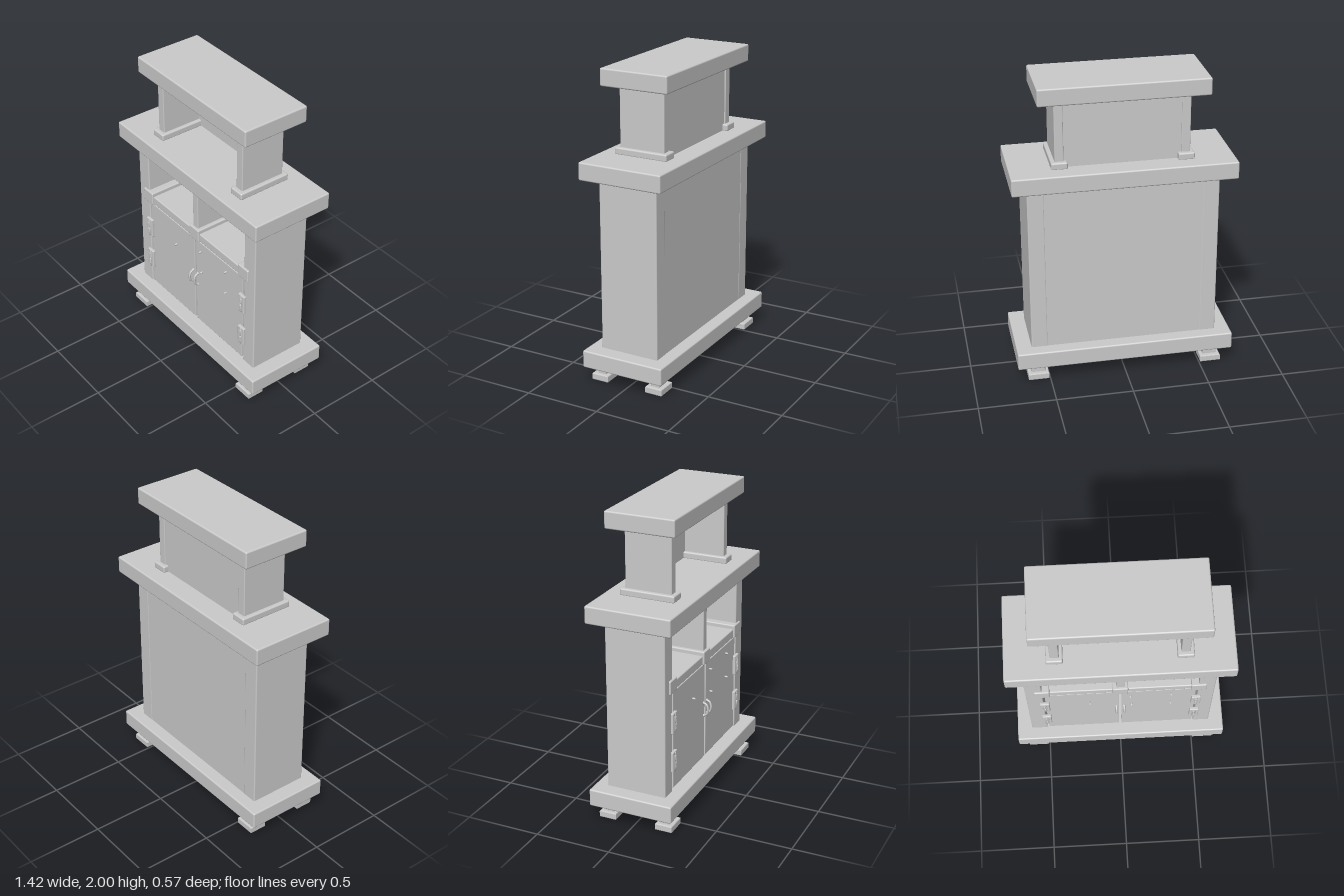
import * as THREE from 'three';
import { RoundedBoxGeometry } from 'three/addons/geometries/RoundedBoxGeometry.js';

const grey = new THREE.MeshStandardMaterial({ color: 0xcccccc });

function add(parent, name, geometry, x = 0, y = 0, z = 0) {
  const mesh = new THREE.Mesh(geometry, grey);
  mesh.name = name;
  mesh.position.set(x, y, z);
  parent.add(mesh);
  return mesh;
}

// Soft-edged box given by its extents on each axis
function block(parent, name, [x0, x1], [y0, y1], [z0, z1], r = 0.008) {
  const w = x1 - x0, h = y1 - y0, d = z1 - z0;
  return add(parent, name, new RoundedBoxGeometry(w, h, d, 2, Math.min(r, w / 3, h / 3, d / 3)),
    (x0 + x1) / 2, (y0 + y1) / 2, (z0 + z1) / 2);
}

const mirror = (s, a, b) => (s > 0 ? [a, b] : [-b, -a]);

// Foot: stepped neck on a hollow rectangular pad
function makeFoot() {
  const foot = new THREE.Group();
  foot.name = 'foot';
  const rect = (P, w, d) => {
    const p = new P();
    p.moveTo(-w / 2, -d / 2);
    p.lineTo(w / 2, -d / 2);
    p.lineTo(w / 2, d / 2);
    p.lineTo(-w / 2, d / 2);
    p.closePath();
    return p;
  };
  const shape = rect(THREE.Shape, 0.124, 0.104);
  shape.holes.push(rect(THREE.Path, 0.08, 0.056));
  const pad = new THREE.ExtrudeGeometry(shape, {
    depth: 0.033, bevelEnabled: true, bevelSize: 0.006, bevelThickness: 0.006, bevelSegments: 2,
  });
  pad.rotateX(-Math.PI / 2);
  add(foot, 'footPad', pad, 0, 0.006, 0);
  block(foot, 'footNeck', [-0.046, 0.046], [0.03, 0.09], [-0.03, 0.03], 0.006);
  block(foot, 'footCollar', [-0.054, 0.054], [0.085, 0.115], [-0.034, 0.034], 0.006);
  return foot;
}

// Hinge: plate, raised oval rim and knuckle pins
function makeHinge() {
  const hinge = new THREE.Group();
  hinge.name = 'hinge';
  block(hinge, 'hingePlate', [-0.031, 0.031], [-0.07, 0.07], [-0.012, 0.012], 0.006);
  const rim = add(hinge, 'hingeRim', new THREE.TorusGeometry(0.012, 0.004, 6, 20), 0, 0, 0.012);
  rim.scale.set(1, 4.2, 1);
  for (const y of [-0.025, 0.025]) {
    add(hinge, 'hingePin', new THREE.CapsuleGeometry(0.007, 0.03, 4, 10), 0, y, 0.013);
  }
  return hinge;
}

export function createModel() {
  const model = new THREE.Group();
  model.name = 'cabinet';

  // Three wide slabs
  block(model, 'baseSlab', [-0.712, 0.712], [0.107, 0.222], [-0.283, 0.283], 0.01);
  block(model, 'counterSlab', [-0.712, 0.712], [1.34, 1.455], [-0.283, 0.283], 0.01);
  block(model, 'crownSlab', [-0.536, 0.536], [1.888, 2], [-0.23, 0.23], 0.01);

  for (const x of [-0.576, 0.576]) for (const z of [-0.19, 0.2]) {
    const foot = makeFoot();
    foot.position.set(x, 0, z);
    model.add(foot);
  }

  // Carcass
  for (const s of [-1, 1]) block(model, 'sidePanel', mirror(s, 0.505, 0.612), [0.21, 1.35], [-0.2, 0.2]);
  block(model, 'backPanel', [-0.575, 0.575], [0.21, 1.35], [-0.198, -0.165], 0.004);
  block(model, 'topRail', [-0.51, 0.51], [1.325, 1.35], [-0.17, 0.19], 0.004);

  // Open shelf with divider and mouldings that run front to back
  block(model, 'shelf', [-0.51, 0.51], [0.9, 0.962], [-0.17, 0.2]);
  block(model, 'shelfBackTrim', [-0.51, 0.51], [0.955, 0.976], [-0.17, -0.15], 0.005);
  block(model, 'divider', [-0.026, 0.026], [0.95, 1.35], [-0.17, 0.195], 0.005);
  for (const x of [-0.506, 0, 0.506]) {
    block(model, 'shelfMoulding', [x - 0.05, x + 0.05], [0.898, 0.99], [-0.17, 0.212], 0.008);
  }

  // Doors with curved pull handles and hinges
  const curve = new THREE.CatmullRomCurve3([[-0.045, 0], [-0.034, 0.022], [0, 0.032], [0.034, 0.022], [0.045, 0]]
    .map(([y, z]) => new THREE.Vector3(0, y, z)));
  for (const s of [-1, 1]) {
    block(model, 'door', mirror(s, 0.008, 0.492), [0.232, 0.896], [0.165, 0.198], 0.004);
    add(model, 'handle', new THREE.TubeGeometry(curve, 20, 0.0075, 8), s * 0.025, 0.58, 0.198);
    for (const y of [-0.045, 0.045]) {
      add(model, 'handleMount', new THREE.SphereGeometry(0.01, 10, 8), s * 0.025, 0.58 + y, 0.2);
    }
    for (const y of [0.43, 0.695]) {
      const hinge = makeHinge();
      hinge.position.set(s * 0.498, y, 0.205);
      model.add(hinge);
    }
  }

  // Small studs scattered on the doors
  for (const [x, y] of [[-0.2, 0.73], [0.065, 0.83], [0.33, 0.838], [0.075, 0.668], [0.33, 0.668]]) {
    const stud = add(model, 'stud', new THREE.SphereGeometry(0.007, 8, 6), x, y, 0.207);
    stud.scale.z = 2;
  }

  // Upper stand: two uprights on plinths with a panel behind
  for (const s of [-1, 1]) {
    block(model, 'upright', mirror(s, 0.37, 0.427), [1.45, 1.895], [-0.15, 0.16], 0.006);
    block(model, 'uprightPlinth', mirror(s, 0.348, 0.452), [1.45, 1.497], [-0.177, 0.187], 0.01);
  }
  block(model, 'upperBackPanel', [-0.38, 0.38], [1.45, 1.895], [-0.142, -0.115], 0.004);

  return model;
}
